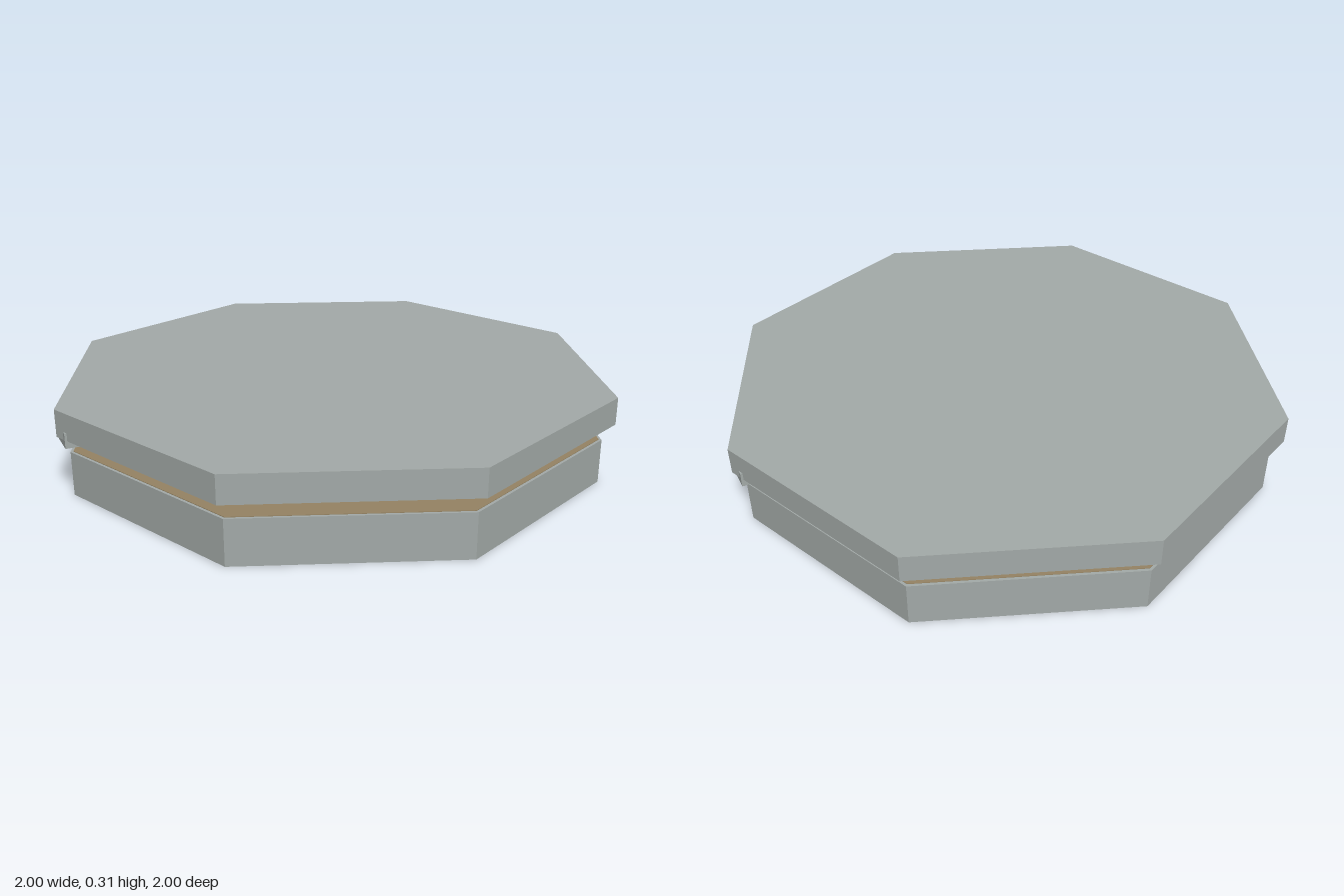
import * as THREE from 'three';

export function createModel() {
  const group = new THREE.Group();
  const grey = new THREE.MeshStandardMaterial({ color: 0xa3aaa8, flatShading: true });
  grey.name = 'metal grey';
  const tan = new THREE.MeshStandardMaterial({ color: 0x958363, flatShading: true });
  tan.name = 'inner tan';

  // Eight-sided slab with corners on the x and z axes
  function slab(name, radius, bottom, top, material) {
    const mesh = new THREE.Mesh(new THREE.CylinderGeometry(radius, radius, top - bottom, 8), material);
    mesh.position.y = (bottom + top) / 2;
    mesh.name = name;
    group.add(mesh);
  }
  slab('base', 0.96, 0, 0.154, grey);
  slab('innerPlate', 0.95, 0.15, 0.156, tan);
  slab('lid', 1, 0.215, 0.31, grey);

  // L-shaped clip under the lid at each side corner
  for (const side of [1, -1]) {
    const clip = new THREE.Group();
    clip.name = side > 0 ? 'leftClip' : 'rightClip';
    const foot = new THREE.Mesh(new THREE.BoxGeometry(0.055, 0.025, 0.11), grey);
    foot.name = 'clipFoot';
    foot.position.set(side * 0.9575, 0.2025, 0);
    const upright = new THREE.Mesh(new THREE.BoxGeometry(0.011, 0.03, 0.11), grey);
    upright.name = 'clipUpright';
    upright.position.set(side * 0.9795, 0.228, 0);
    clip.add(foot, upright);
    group.add(clip);
  }
  return group;
}
